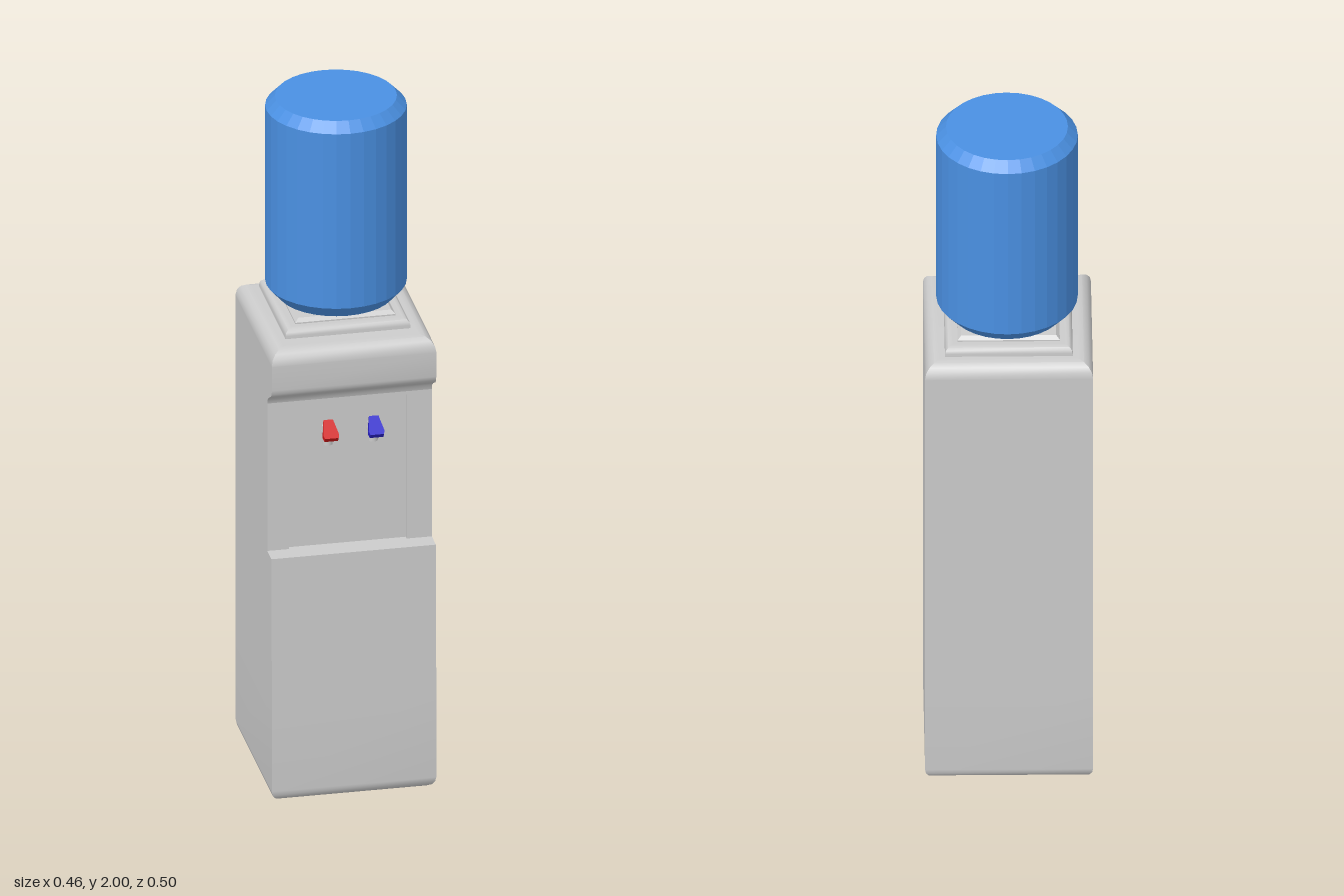
import * as THREE from 'three';
import { toCreasedNormals } from 'three/addons/utils/BufferGeometryUtils.js';

const grey = new THREE.MeshStandardMaterial({ color: 0xcccccc });
const paint = (color) => new THREE.MeshStandardMaterial({ color });

function add(parent, name, geometry, material, x = 0, y = 0, z = 0) {
  const mesh = new THREE.Mesh(geometry, material);
  mesh.name = name;
  mesh.position.set(x, y, z);
  parent.add(mesh);
  return mesh;
}

// Stack of rectangles, each [y, halfWidth, zBack, zFront], joined and capped
function loft(sections) {
  const pos = [];
  const rings = sections.map(([y, w, zb, zf]) => [
    new THREE.Vector3(-w, y, zf), new THREE.Vector3(w, y, zf),
    new THREE.Vector3(w, y, zb), new THREE.Vector3(-w, y, zb),
  ]);
  const tri = (a, b, c) => {
    if (new THREE.Triangle(a, b, c).getArea() > 1e-9) {
      for (const p of [a, b, c]) pos.push(p.x, p.y, p.z);
    }
  };
  const quad = (a, b, c, d) => { tri(a, b, c); tri(a, c, d); };
  for (let i = 0; i < rings.length - 1; i++) {
    const lo = rings[i], hi = rings[i + 1];
    for (let k = 0; k < 4; k++) {
      const n = (k + 1) % 4;
      quad(lo[k], lo[n], hi[n], hi[k]);
    }
  }
  const first = rings[0], last = rings[rings.length - 1];
  quad(first[3], first[2], first[1], first[0]);
  quad(last[0], last[1], last[2], last[3]);
  const geometry = new THREE.BufferGeometry();
  geometry.setAttribute('position', new THREE.Float32BufferAttribute(pos, 3));
  return toCreasedNormals(geometry, 0.6);
}

// Rounded rim at the top of a loft, with narrow flats either side of the arc
function roundedTop(y, w, zb, zf, r, steps = 4) {
  const out = [[y - r - 0.004, w, zb, zf]];
  for (let i = 0; i <= steps; i++) {
    const a = (i / steps) * Math.PI / 2;
    const inset = r * (1 - Math.cos(a));
    out.push([y - r + r * Math.sin(a), w - inset, zb + inset, zf - inset]);
  }
  const e = r + 0.004;
  out.push([y, w - e, zb + e, zf - e]);
  return out;
}

// Same rim turned over for the base
const roundedBase = (w, zb, zf, r) =>
  roundedTop(0, w, zb, zf, r).map(([y, ...rest]) => [-y, ...rest]).reverse();

function makeTap(name, color, x) {
  const tap = new THREE.Group();
  tap.name = name;
  tap.position.x = x;
  const stub = add(tap, 'tapStub', new THREE.CylinderGeometry(0.01, 0.01, 0.05, 12), grey, 0, 1.075, 0.175);
  stub.rotation.x = Math.PI / 2;
  add(tap, 'tapSpout', new THREE.CylinderGeometry(0.015, 0.014, 0.055, 12), grey, 0, 1.082, 0.194);
  // Lever widens towards its lower front end
  const shape = new THREE.Shape([
    [-0.013, 0.03], [0.013, 0.03], [0.022, -0.018], [0.019, -0.03], [-0.019, -0.03], [-0.022, -0.018],
  ].map(([a, b]) => new THREE.Vector2(a, b)));
  const leverGeo = new THREE.ExtrudeGeometry(shape, { depth: 0.016, bevelEnabled: false });
  leverGeo.translate(0, 0, -0.008);
  const lever = add(tap, 'tapLever', leverGeo, paint(color), 0, 1.108, 0.225);
  lever.rotation.x = -0.95;
  return tap;
}

export function createModel() {
  const model = new THREE.Group();
  model.name = 'waterDispenser';

  // Cabinet with a recessed tap bay and an overhanging head
  const W = 0.23, back = -0.25, bay = 0.17, panel = 0.158;
  add(model, 'cabinet', loft([
    ...roundedBase(W, back, 0.23, 0.035),
    [0.3, W, back, 0.23],
    [0.735, W, back, 0.225],
    [0.735, W, back, panel],
    [1.18, W, back, panel],
    [1.18, W, back, bay],
    [1.195, W, back, 0.175],
    [1.207, W, back, 0.19],
    [1.222, W, back, 0.218],
    [1.232, W, back, 0.227],
    [1.245, W, back, 0.23],
    ...roundedTop(1.36, W, back, 0.23, 0.04),
  ]), grey);

  // Border that leaves the tap panel slightly sunken
  const border = new THREE.Shape([[-W, 0.735], [-0.17, 0.735], [-0.17, 1.17], [0.16, 1.17],
    [0.16, 0.735], [W, 0.735], [W, 1.18], [-W, 1.18]].map(([a, b]) => new THREE.Vector2(a, b)));
  add(model, 'panelBorder', new THREE.ExtrudeGeometry(border, { depth: bay - panel, bevelEnabled: false }),
    grey, 0, 0, panel);

  // Stepped seat for the bottle
  add(model, 'bottleSeat', loft([[1.355, 0.175, -0.2, 0.15], ...roundedTop(1.386, 0.175, -0.2, 0.15, 0.018, 3)]), grey);
  add(model, 'bottleCollar', loft([[1.38, 0.14, -0.165, 0.115], [1.39, 0.14, -0.165, 0.115],
    [1.4, 0.13, -0.155, 0.105]]), grey);

  // Water bottle with chamfered ends and a hidden neck
  const profile = [[0, 1.38], [0.08, 1.38], [0.08, 1.407], [0.16, 1.407], [0.194, 1.445],
    [0.194, 1.972], [0.167, 2], [0, 2]].map(([r, y]) => new THREE.Vector2(r, y));
  const bottle = new THREE.LatheGeometry(profile, 32).toNonIndexed();
  bottle.computeVertexNormals();
  add(model, 'bottle', bottle, paint(0x4a90e2), 0.003, 0, -0.025);

  // Hot and cold taps
  model.add(makeTap('hotTap', 0xd01818, -0.067), makeTap('coldTap', 0x2a22c8, 0.06));
  return model;
}
